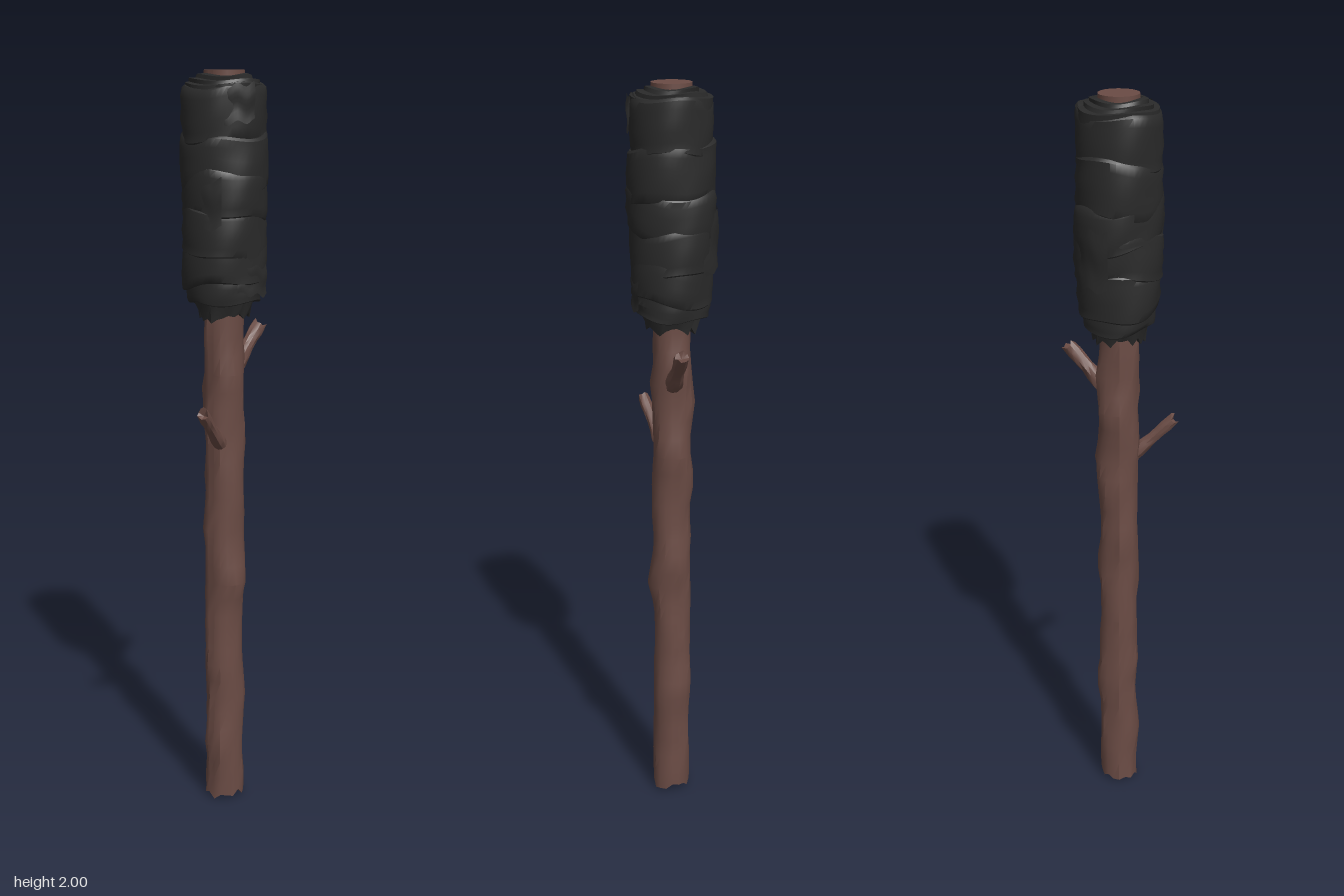
import * as THREE from 'three';
import { toCreasedNormals } from 'three/addons/utils/BufferGeometryUtils.js';

const wood = new THREE.MeshStandardMaterial({ color: 0x6b4c45 });
const cloth = new THREE.MeshStandardMaterial({ color: 0x2a2a2a, side: THREE.DoubleSide });
const TAU = Math.PI * 2;

// Repeatable pseudo-noise in -1..1
const noise = (a, b = 0) => {
  const s = Math.sin(a * 12.9898 + b * 78.233) * 43758.5453;
  return (s - Math.floor(s)) * 2 - 1;
};

// Skin of rings from bottom to top; point(row, angle, column) gives [x, y, z]
function loft(name, rows, sides, material, point, crease = 0.6) {
  const pos = [], index = [];
  for (let i = 0; i < rows; i++) {
    for (let j = 0; j < sides; j++) pos.push(...point(i, (j / sides) * TAU, j));
  }
  for (let i = 0; i < rows - 1; i++) {
    for (let j = 0; j < sides; j++) {
      const a = i * sides + j, b = i * sides + ((j + 1) % sides);
      index.push(a, a + sides, b, b, a + sides, b + sides);
    }
  }
  const geo = new THREE.BufferGeometry();
  geo.setAttribute('position', new THREE.Float32BufferAttribute(pos, 3));
  geo.setIndex(index);
  const mesh = new THREE.Mesh(toCreasedNormals(geo, crease), material);
  mesh.name = name;
  return mesh;
}

// Knots on the shaft: height, angle (0 = +x, PI/2 = +z), bulge
const knots = [
  [0.66, 0.1, 0.016], [1.17, 3.1, 0.010], [0.96, 3.3, 0.010], [0.8, 2.9, 0.008],
  [1.04, -1.6, 0.011], [0.72, -1.4, 0.013], [0.33, -1.6, 0.015], [0.05, -1.3, 0.008],
  [1.22, 0.2, 0.008], [1.1, 1.5, 0.008], [0.4, 1.7, 0.007], [0.17, 1.5, 0.008], [1.27, -1.6, 0.010],
];

function shaft() {
  const rows = 44, sides = 18;
  return loft('shaft', rows, sides, wood, (i, a, j) => {
    // Splintered, hollowed lower end
    if (i === 0) return [0, 0.035, 0];
    if (i === rows - 1) return [0, 2, 0];
    let y = 0.02 + ((i - 1) / (rows - 3)) * 1.98;
    let r = 0.051 + 0.0018 * noise(j, 3) + 0.0015 * noise(i, j)
      + 0.002 * Math.sin(y * 9 + a) + 0.0015 * Math.sin(y * 23 - 2 * a);
    for (const [ky, ka, bulge] of knots) {
      const d = Math.cos(a - ka);
      if (d > 0) r += bulge * d * d * Math.exp(-(((y - ky) / 0.045) ** 2));
    }
    if (i === 1) y = j === 4 ? 0 : 0.014 + 0.013 * noise(j, 9);
    if (y > 1.4) r = 0.052;
    return [r * Math.cos(a), y, r * Math.sin(a)];
  });
}

// Broken side twig from one point to another
function twig(name, from, to, radius) {
  const start = new THREE.Vector3(...from), dir = new THREE.Vector3(...to).sub(start);
  const length = dir.length(), rows = 8;
  const mesh = loft(name, rows, 10, wood, (i, a, j) => {
    if (i === rows - 1) return [0, length - 0.012, 0];
    const t = i / (rows - 2);
    const r = radius * (1.2 - 0.3 * t + 0.12 * Math.sin(t * 9)) + 0.001 * noise(i, j);
    const y = t * length + (t === 1 ? 0.008 * noise(j, 5) : 0);
    return [r * Math.cos(a), y, r * Math.sin(a)];
  });
  mesh.position.copy(start);
  mesh.quaternion.setFromUnitVectors(new THREE.Vector3(0, 1, 0), dir.normalize());
  return mesh;
}

// One wound strip: tilted, wrinkled ring with visible edges
function band(name, k, low, high, radius, tilt, phase) {
  const profile = [
    [-0.03, 0], [-0.003, 0], [0, 0.03], [0.002, 0.2], [0.003, 0.4],
    [0.003, 0.6], [0.002, 0.8], [0, 0.95], [-0.005, 1], [-0.03, 1],
  ];
  return loft(name, profile.length, 48, cloth, (i, a) => {
    const [dr, t] = profile[i];
    const fold = Math.sin(t * 15 + 2 * Math.sin(a + k) + k);
    const r = radius + dr + 0.0022 * fold * Math.sin(a * 1 + k * 2)
      + 0.003 * Math.sin(2 * a + k * 1.7) + 0.0015 * Math.sin(5 * a + t * 4 + k);
    const y = low + t * (high - low) + tilt * Math.cos(a - phase)
      + 0.006 * Math.sin(3 * a + k * 2 + t);
    return [r * Math.cos(a), y, r * Math.sin(a)];
  });
}

// Ragged collar where the cloth is tied to the shaft
function collar() {
  const profile = [[0.05, 1.39], [0.066, 1.38], [0.074, 1.41], [0.085, 1.45]];
  return loft('raggedCollar', profile.length, 28, cloth, (i, a, j) => {
    const [r0, y0] = profile[i];
    const r = r0 + 0.004 * noise(j, i + 20);
    const y = y0 + (i < 2 ? 0.013 * noise(j, 31) : 0);
    return [r * Math.cos(a), y, r * Math.sin(a)];
  });
}

// Rolled cloth layers stepping up towards the shaft tip
function rolledTop() {
  const profile = [
    [0.100, 1.94], [0.100, 1.967], [0.088, 1.969], [0.087, 1.978],
    [0.071, 1.979], [0.070, 1.988], [0.058, 1.99], [0.052, 1.98],
  ];
  return loft('rolledTop', profile.length, 40, cloth, (i, a) => {
    const [r0, y0] = profile[i];
    const r = r0 + (i < 6 ? 0.003 * Math.sin(a * 2 + i) : 0);
    const y = y0 + 0.003 * Math.sin(3 * a + i * 0.4);
    return [r * Math.cos(a), y, r * Math.sin(a)];
  }, 0.5);
}

// Loose curved patch lying on the winding
function flap(name, low, high, start, end, radius, slant) {
  const rows = 8, cols = 14;
  const geo = new THREE.PlaneGeometry(1, 1, cols, rows);
  const p = geo.attributes.position;
  for (let n = 0; n < p.count; n++) {
    const u = p.getX(n) + 0.5, v = p.getY(n) + 0.5;
    const a = end + (start - end) * u;
    const r = radius - 0.014 * (1 - u) + 0.002 * Math.sin(v * 8 + u * 3);
    const y = low + (high - low) * v + slant * u + 0.006 * Math.sin(u * 14);
    p.setXYZ(n, r * Math.cos(a), y, r * Math.sin(a));
  }
  geo.computeVertexNormals();
  const mesh = new THREE.Mesh(geo, cloth);
  mesh.name = name;
  return mesh;
}

export function createModel() {
  const torch = new THREE.Group();
  torch.name = 'torch';
  torch.add(shaft());
  torch.add(twig('frontTwig', [0.018, 1.04, 0.035], [0.048, 1.147, 0.138], 0.016));
  torch.add(twig('backTwig', [0.003, 1.23, -0.035], [0.003, 1.338, -0.14], 0.019));

  // Cloth head
  const head = new THREE.Group();
  head.name = 'clothHead';
  const bands = [ // low, high, radius, tilt, tilt direction
    [1.415, 1.49, 0.093, 0.006, 0.5], [1.46, 1.58, 0.104, 0.016, 0.3],
    [1.54, 1.66, 0.107, 0.014, 2.6], [1.63, 1.75, 0.109, 0.018, 1.2],
    [1.71, 1.85, 0.108, 0.012, 4.0], [1.83, 1.965, 0.104, 0.006, 5.6],
  ];
  bands.forEach((b, k) => head.add(band('clothBand' + (k + 1), k + 1, ...b)));
  head.add(collar(), rolledTop());
  head.add(flap('sideFlap', 1.535, 1.685, 3.05, 4.1, 0.122, 0));
  head.add(flap('frontFlap', 1.6, 1.72, 0.9, 1.9, 0.117, 0.02));
  head.add(flap('lowerFlap', 1.45, 1.53, -0.5, 0.5, 0.112, -0.015));
  head.add(flap('upperFlap', 1.87, 1.96, 0.1, 1.1, 0.112, 0.01));
  torch.add(head);
  return torch;
}
